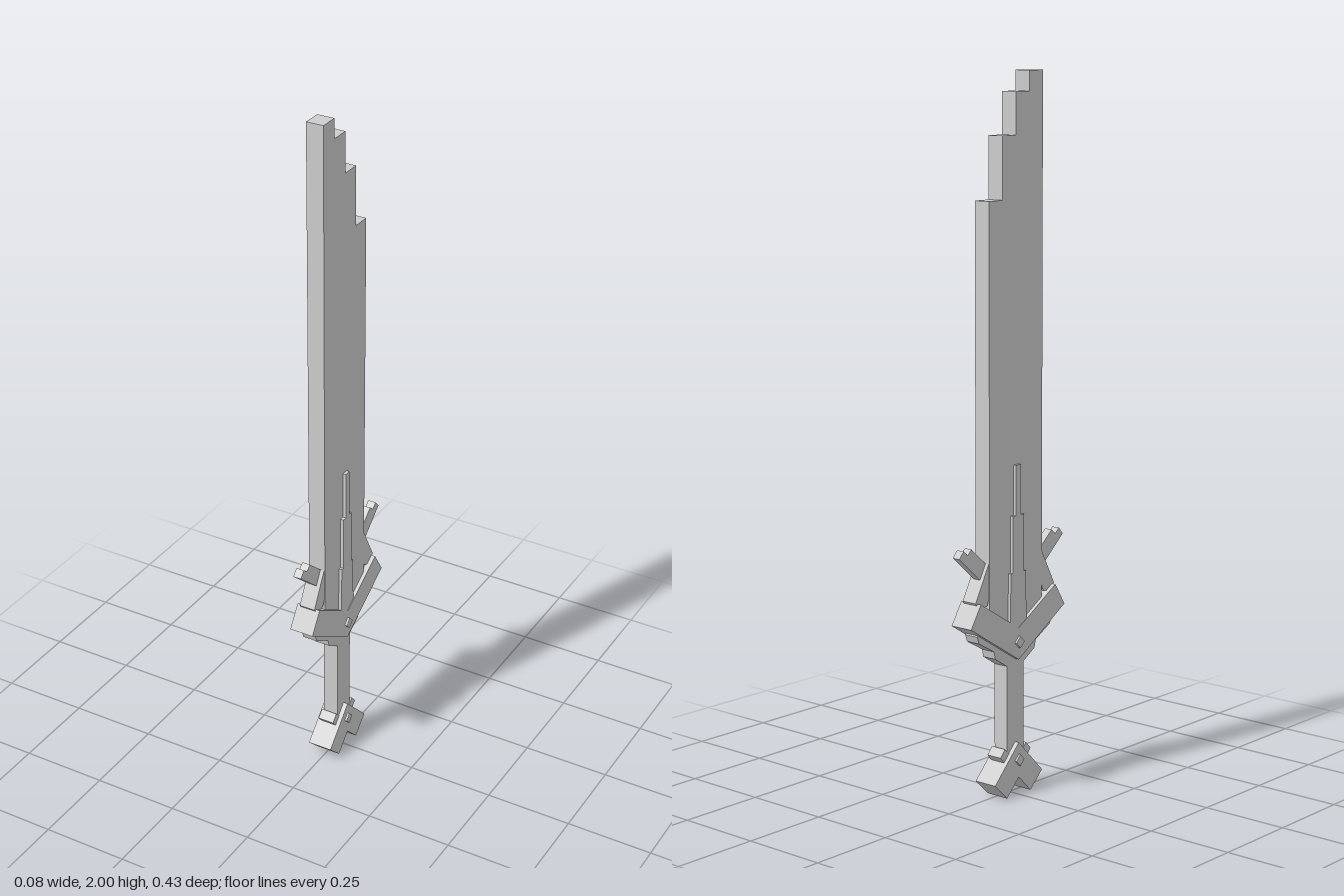
import * as THREE from 'three';

const steel = new THREE.MeshStandardMaterial({ color: 0xcccccc });
steel.name = 'steel';

export function createModel() {
  const sword = new THREE.Group();
  sword.name = 'sword';

  // Extrudes a [z, y] outline across x to the given half thickness
  const plate = (name, points, half) => {
    const shape = new THREE.Shape(points.map(([z, y]) => new THREE.Vector2(z, y)));
    const geo = new THREE.ExtrudeGeometry(shape, { depth: half * 2, bevelEnabled: false });
    geo.translate(0, 0, -half).rotateY(-Math.PI / 2);
    const mesh = new THREE.Mesh(geo, steel);
    mesh.name = name;
    sword.add(mesh);
  };
  // Closes a half outline by mirroring it over z = 0
  const symmetric = (name, points, half) => plate(name,
    [...points, ...points.filter(([z]) => z !== 0).reverse().map(([z, y]) => [-z, y])], half);
  // Makes a front and a back copy of one outline
  const pair = (name, points, half) => {
    plate('front' + name, points, half);
    plate('back' + name, points.map(([z, y]) => [-z, y]), half);
  };

  // Blade with a stepped tip
  plate('blade', [[-0.11, 0.5], [0, 0.44], [0.11, 0.53], [0.11, 2], [0.055, 2], [0.055, 1.945],
    [0, 1.945], [0, 1.83], [-0.055, 1.83], [-0.055, 1.66], [-0.11, 1.66]], 0.025);

  // Stepped spine rising from the guard
  symmetric('spine', [[0, 0.45], [0.035, 0.48], [0.031, 0.64], [0.023, 0.64], [0.023, 0.8],
    [0.01, 0.8], [0.01, 0.94]], 0.034);

  // V-shaped guard, wings, prongs and lower tabs
  symmetric('guard', [[0, 0.393], [0.197, 0.515], [0.157, 0.578], [0, 0.483]], 0.0355);
  pair('Wing', [[0.09, 0.66], [0.112, 0.68], [0.165, 0.58], [0.15, 0.56], [0.118, 0.565], [0.105, 0.6]], 0.0235);
  pair('Prong', [[0.217, 0.71], [0.2, 0.729], [0.184, 0.715], [0.168, 0.729], [0.1, 0.67], [0.13, 0.635]], 0.012);
  pair('GuardTab', [[0.157, 0.485], [0.15, 0.465], [0.088, 0.43], [0.083, 0.408], [0.03, 0.375],
    [0.02, 0.41], [0.15, 0.5]], 0.022);

  // Grip
  symmetric('grip', [[0, 0.08], [0.035, 0.1], [0.035, 0.42], [0, 0.42]], 0.0225);

  // Forked pommel with small shoulders
  symmetric('pommel', [[0, 0.155], [0.1, 0.053], [0.05, 0.005], [0, 0.055]], 0.036);
  pair('PommelShoulder', [[0.02, 0.12], [0.035, 0.132], [0.045, 0.143], [0.064, 0.122], [0.045, 0.1]], 0.024);
  symmetric('pommelWedge', [[0, 0.028], [0.012, 0.04], [0, 0.07]], 0.012);

  // Square rivets through guard and pommel
  for (const [name, y] of [['guardRivet', 0.443], ['pommelRivet', 0.105]]) {
    symmetric(name, [[0, y - 0.017], [0.017, y], [0, y + 0.017]], 0.042);
  }
  return sword;
}
